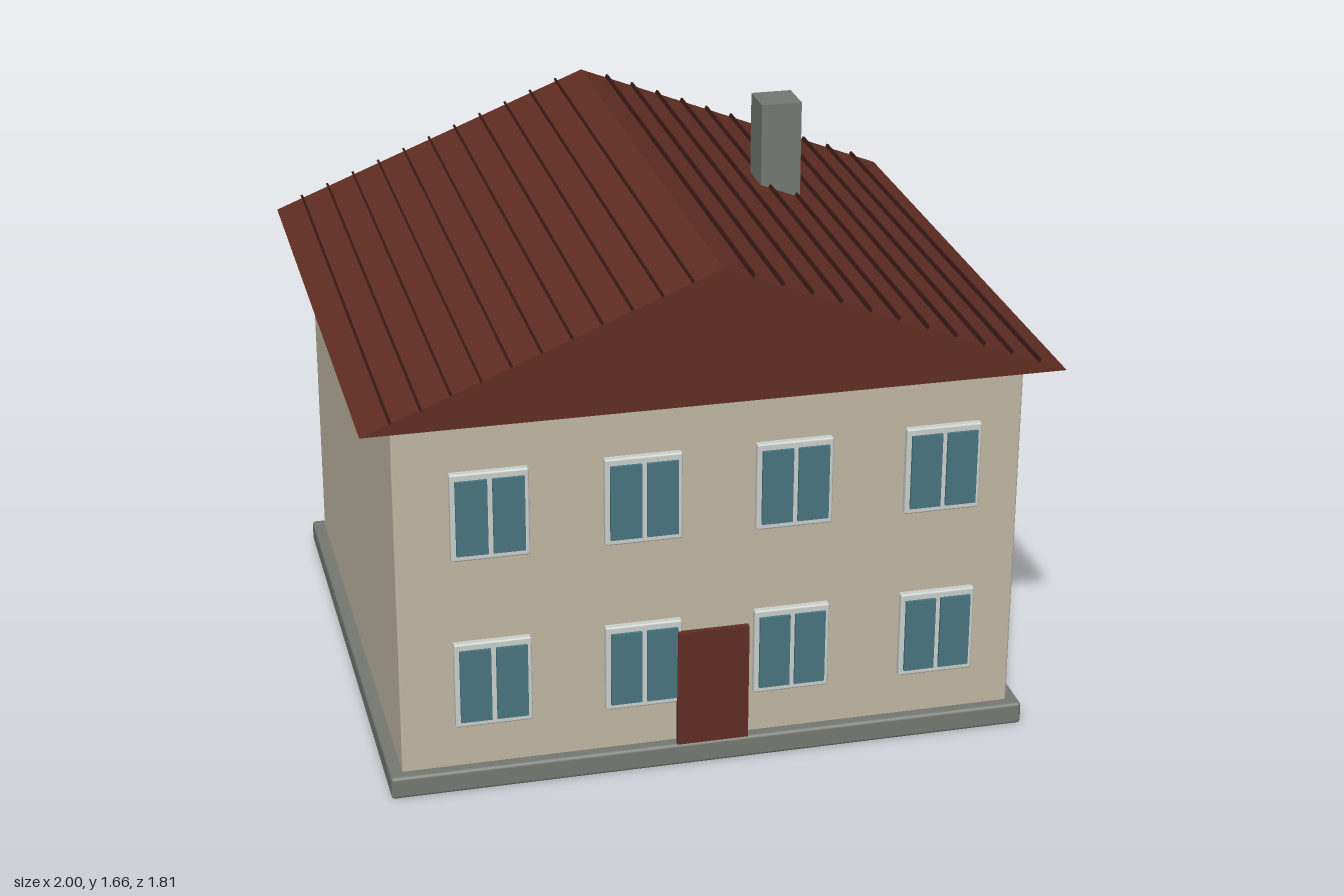
import * as THREE from 'three';
import { RoundedBoxGeometry } from 'three/addons/geometries/RoundedBoxGeometry.js';

export function createModel() {
  const house = new THREE.Group();
  house.name = 'house';

  const material = (name, color) => {
    const m = new THREE.MeshStandardMaterial({ color });
    m.name = name;
    return m;
  };
  const wallMat = material('beige plaster', 0xc0b8a3);
  const roofMat = material('red brown', 0x602d23);
  const battenMat = material('dark brown', 0x381a14);
  const stoneMat = material('grey stone', 0x757972);
  const frameMat = material('pale grey', 0xcbd0cc);
  const glassMat = material('blue glass', 0x487580);

  const add = (parent, name, geometry, mat, x, y, z) => {
    const mesh = new THREE.Mesh(geometry, mat);
    mesh.name = name;
    mesh.position.set(x, y, z);
    parent.add(mesh);
    return mesh;
  };
  // Box with a small chamfer
  const bevelBox = (w, h, d, r) => new RoundedBoxGeometry(w, h, d, 2, r);

  // Base slab and walls
  add(house, 'foundation', bevelBox(1.886, 0.068, 1.706, 0.01), stoneMat, 0, 0.034, 0);
  add(house, 'walls', bevelBox(1.812, 1.12, 1.636, 0.006), wallMat, 0, 0.61, 0);

  // Solid gable roof
  const eaveY = 1.16, ridgeY = 1.556, halfDepth = 0.906;
  const gable = new THREE.Shape([
    new THREE.Vector2(-1, 0),
    new THREE.Vector2(1, 0),
    new THREE.Vector2(0, ridgeY - eaveY),
  ]);
  const roofGeo = new THREE.ExtrudeGeometry(gable, { depth: halfDepth * 2, bevelEnabled: false });
  add(house, 'roof', roofGeo, roofMat, 0, eaveY, -halfDepth);

  // Thin battens running along both slopes
  const slope = Math.atan(ridgeY - eaveY);
  const battenGeo = new THREE.BoxGeometry(0.007, 0.018, halfDepth * 2);
  for (const side of [-1, 1]) {
    for (let i = 1; i < 12; i++) {
      const x = i / 12;
      const y = ridgeY - x * (ridgeY - eaveY);
      const batten = add(house, 'roofBatten', battenGeo, battenMat, side * x, y + 0.002, 0);
      batten.rotation.z = -side * slope;
    }
  }

  // Chimney
  add(house, 'chimney', new THREE.BoxGeometry(0.124, 0.4, 0.124), stoneMat, 0.451, 1.456, -0.184);

  // Window: bevelled frame with two raised panes
  const frameGeo = bevelBox(0.223, 0.266, 0.036, 0.006);
  const paneGeo = new THREE.BoxGeometry(0.09, 0.226, 0.009);
  const makeWindow = () => {
    const w = new THREE.Group();
    w.name = 'window';
    add(w, 'windowFrame', frameGeo, frameMat, 0, 0, 0);
    for (const side of [-1, 1]) add(w, 'windowPane', paneGeo, glassMat, side * 0.0525, 0, 0.0225);
    return w;
  };
  for (const face of [1, -1]) {
    for (const y of [0.333, 0.858]) {
      for (const x of [-0.639, -0.203, 0.234, 0.672]) {
        const w = makeWindow();
        w.position.set(x, y, face * 0.82);
        if (face < 0) w.rotation.y = Math.PI;
        house.add(w);
      }
    }
  }

  // Front door
  add(house, 'door', new THREE.BoxGeometry(0.21, 0.362, 0.018), roofMat, -0.002, 0.249, 0.844);

  return house;
}
